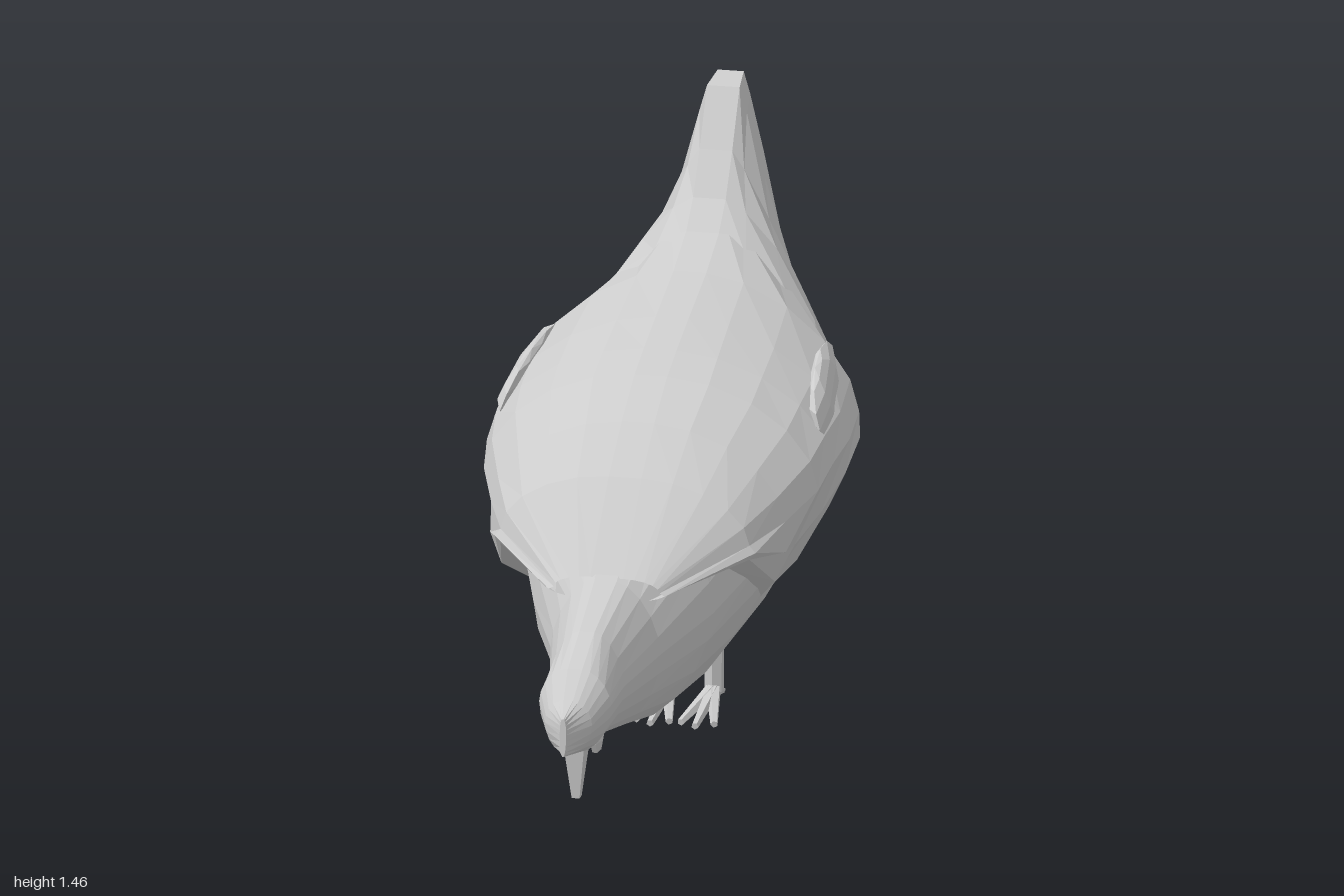
import * as THREE from 'three';

const material = new THREE.MeshStandardMaterial({ color: 0xcccccc, flatShading: true });
const thin = new THREE.MeshStandardMaterial({ color: 0xcccccc, flatShading: true, side: THREE.DoubleSide });

// Skin a list of cross-sections that run from front to back
function loft(rows, closed) {
  const n = rows[0].length, index = [];
  const last = closed ? n : n - 1;
  for (let i = 0; i < rows.length - 1; i++) {
    for (let j = 0; j < last; j++) {
      const a = i * n + j, b = i * n + (j + 1) % n;
      index.push(a, b, a + n, b, b + n, a + n);
    }
  }
  if (closed) {
    const end = (rows.length - 1) * n;
    for (let k = 1; k < n - 1; k++) index.push(0, k + 1, k, end, end + k, end + k + 1);
  }
  const g = new THREE.BufferGeometry();
  g.setAttribute('position', new THREE.Float32BufferAttribute(rows.flat(2), 3));
  g.setIndex(index);
  const flat = g.toNonIndexed();
  flat.computeVertexNormals();
  return flat;
}

// Points from the crest (c, top) round to the widest point (w, yw); a higher e is straighter
function arc(z, c, top, w, yw, e, steps) {
  return Array.from({ length: steps + 1 }, (_, i) => {
    const t = (i / steps) * Math.PI / 2;
    return [c + (w - c) * Math.sin(t) ** e, yw + (top - yw) * Math.max(0, Math.cos(t)) ** e, z];
  });
}
const flip = (pts) => pts.map(([x, y, z]) => [-x, y, z]).reverse();

function add(parent, name, geometry, mat = material) {
  const mesh = new THREE.Mesh(geometry, mat);
  mesh.name = name;
  parent.add(mesh);
  return mesh;
}

// Tapered limb between two points
function limb(parent, name, from, to, r0, r1, sides = 6) {
  const a = new THREE.Vector3(...from), b = new THREE.Vector3(...to);
  const mesh = add(parent, name, new THREE.CylinderGeometry(r1, r0, a.distanceTo(b), sides));
  mesh.position.copy(a).add(b).multiplyScalar(0.5);
  mesh.quaternion.setFromUnitVectors(new THREE.Vector3(0, 1, 0), b.sub(a).normalize());
}

export function createModel() {
  const hen = new THREE.Group();
  hen.name = 'hen';

  // Head to tail: z, top, bottom, half width, widest y, upper bend
  const sections = [
    [1.0, 0.39, 0.295, 0.008, 0.35, 1],
    [0.94, 0.42, 0.285, 0.058, 0.36, 1.1],
    [0.87, 0.475, 0.27, 0.088, 0.39, 1.1],
    [0.74, 0.53, 0.27, 0.092, 0.40, 1.2],
    [0.54, 0.595, 0.23, 0.135, 0.42, 1.2],
    [0.35, 0.72, 0.19, 0.22, 0.47, 1],
    [0.15, 0.86, 0.165, 0.29, 0.54, 1],
    [0.0, 0.93, 0.18, 0.35, 0.61, 1],
    [-0.22, 1.01, 0.30, 0.405, 0.70, 1.15],
    [-0.36, 1.06, 0.24, 0.395, 0.74, 1.2],
    [-0.48, 1.125, 0.255, 0.355, 0.77, 1.25],
    [-0.58, 1.21, 0.275, 0.31, 0.78, 1.45],
    [-0.65, 1.31, 0.295, 0.27, 0.78, 1.75],
    [-0.73, 1.445, 0.33, 0.215, 0.79, 1.95],
    [-0.81, 1.46, 0.41, 0.16, 0.84, 1.8],
    [-0.88, 1.33, 0.56, 0.11, 0.92, 1.5],
    [-0.93, 1.21, 0.78, 0.075, 0.98, 1.3],
    [-1.0, 1.03, 1.0, 0.025, 1.015, 1],
  ];
  const rings = sections.map(([z, top, bottom, w, yw, bend]) => {
    const crest = Math.min(0.04, w * 0.2);
    // The breast and belly are keeled, the head and tail rounder
    const keel = 1.1 + 0.3 * Math.exp(-(((z + 0.05) / 0.4) ** 2));
    const upper = arc(z, crest, top, w, yw, bend, 5);
    const lower = arc(z, crest * 0.7, bottom, w, yw, keel, 5).reverse().slice(1);
    const half = [...upper, ...lower];
    return [...half, ...flip(half)];
  });
  add(hen, 'body', loft(rings, true));

  // Back and folded wings: z, top, half width, widest y, lower edge x and y, bend
  const cape = [
    [0.53, 0.60, 0.13, 0.57, 0.125, 0.555, 1],
    [0.33, 0.79, 0.305, 0.64, 0.305, 0.605, 1.05],
    [0.19, 0.885, 0.36, 0.66, 0.335, 0.51, 1.1],
    [0.05, 0.96, 0.41, 0.70, 0.265, 0.42, 1.1],
    [-0.05, 0.995, 0.425, 0.74, 0.335, 0.49, 1.15],
    [-0.18, 1.035, 0.435, 0.76, 0.385, 0.59, 1.2],
    [-0.37, 1.09, 0.415, 0.77, 0.39, 0.64, 1.2],
    [-0.56, 1.17, 0.30, 0.78, 0.27, 0.67, 1.45],
  ];
  const capeRows = cape.map(([z, top, w, yw, ex, ey, e]) => {
    const mid = [(w + ex) / 2 + 0.015, (yw + ey) / 2, z];
    const tuck = [ex * 0.55, ey - 0.02, z - 0.02];
    const half = [...arc(z, 0.04, top, w, yw, e, 5), mid, [ex, ey, z], tuck];
    return [...flip(half), ...half];
  });
  add(hen, 'wingsAndBack', loft(capeRows, false), thin);

  // Beak pointing down, narrowing to an edge
  const beak = new THREE.CylinderGeometry(0.045, 0.016, 0.15, 4, 1).rotateY(Math.PI / 4);
  const beakMesh = add(hen, 'beak', beak);
  beakMesh.scale.set(0.85, 1, 1.05);
  beakMesh.position.set(0, 0.225, 0.852);

  for (const s of [1, -1]) {
    const side = s > 0 ? 'left' : 'right';

    // Wing shoulder ridge
    const ridge = add(hen, side + 'WingRidge', new THREE.SphereGeometry(1, 7, 6));
    ridge.scale.set(0.026, 0.062, 0.2);
    ridge.position.set(s * 0.365, 0.872, -0.21);
    ridge.rotation.set(0.25, s * 0.14, s * 0.3);

    // Wattle under the chin
    const wattle = add(hen, side + 'Wattle', new THREE.SphereGeometry(1, 6, 4));
    wattle.scale.set(0.014, 0.035, 0.05);
    wattle.position.set(s * 0.025, 0.262, 0.74);

    // Leg with three front toes and one back toe
    const leg = new THREE.Group();
    leg.name = side + 'Leg';
    hen.add(leg);
    const x = s * 0.055;
    limb(leg, 'thigh', [x, 0.22, -0.385], [s * 0.07, 0.36, -0.33], 0.028, 0.08);
    limb(leg, 'shank', [x, 0.04, -0.39], [x, 0.25, -0.385], 0.024, 0.027);
    for (const spread of [-0.04, 0, 0.042]) {
      limb(leg, 'frontToe', [x, 0.045, -0.385], [x + spread, 0.013, -0.18 - Math.abs(spread) * 0.6], 0.019, 0.009, 5);
    }
    limb(leg, 'backToe', [x, 0.045, -0.385], [x, 0.012, -0.48], 0.02, 0.008, 5);
  }
  return hen;
}
